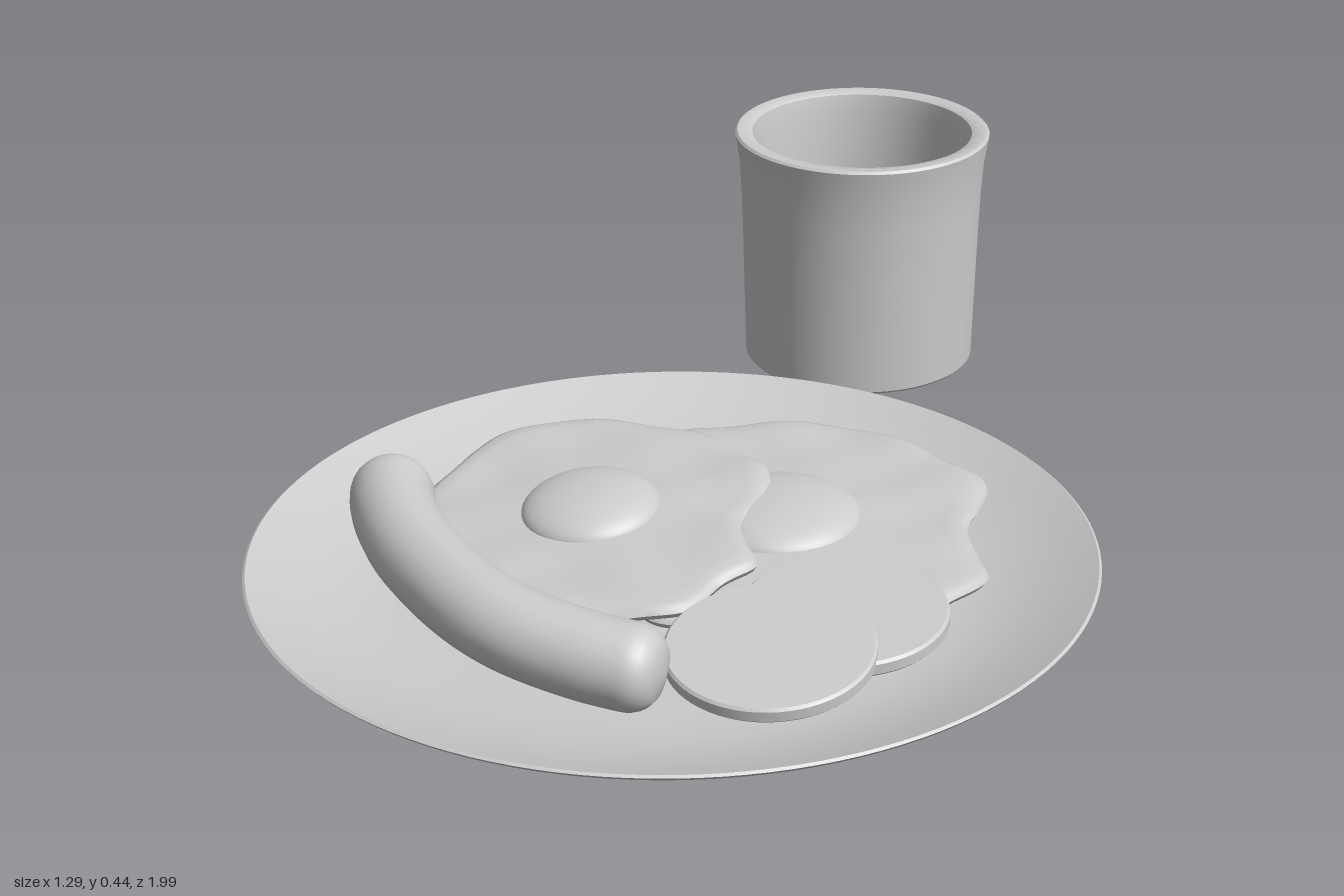
import * as THREE from 'three';
import { toCreasedNormals, mergeVertices } from 'three/addons/utils/BufferGeometryUtils.js';

const glaze = new THREE.MeshStandardMaterial({ color: 0xcccccc });
glaze.name = 'light grey';

function addMesh(parent, name, geometry, x = 0, y = 0, z = 0) {
  const mesh = new THREE.Mesh(geometry, glaze);
  mesh.name = name;
  mesh.position.set(x, y, z);
  parent.add(mesh);
  return mesh;
}

// Turned shape: profile runs from the bottom centre, outwards, and back over the top
function turned(profile, segments = 96) {
  const points = profile.map(([r, y]) => new THREE.Vector2(r, y));
  return toCreasedNormals(new THREE.LatheGeometry(points, segments), 0.7);
}

// Egg white: a lathe whose round section is replaced by a wavy outline, then tilted
function eggWhite(outline, cx, cz, slopeX, slopeZ) {
  const curve = new THREE.CatmullRomCurve3(
    outline.map(([x, z]) => new THREE.Vector3(x - cx, 0, z - cz)), true);
  const profile = [[0, 0], [0.5, 0], [0.95, 0], [0.985, 0.005], [1, 0.013], [0.985, 0.021],
    [0.95, 0.025], [0.87, 0.027], [0.75, 0.025], [0.6, 0.026], [0.45, 0.028], [0.25, 0.03], [0, 0.03]];
  const n = 112;
  const geo = new THREE.LatheGeometry(profile.map(([r, y]) => new THREE.Vector2(r, y)), n);
  const pos = geo.attributes.position;
  for (let i = 0; i <= n; i++) {
    const edge = curve.getPoint(1 - i / n);
    profile.forEach(([r, h], j) => {
      const x = edge.x * r, z = edge.z * r;
      const bump = 0.004 * Math.sin(x * 31 + 1) * Math.sin(z * 27) * r;
      pos.setXYZ(i * profile.length + j, x, h + bump + x * slopeX + z * slopeZ, z);
    });
  }
  return toCreasedNormals(geo, 0.9);
}

function addEgg(parent, name, outline, cx, y, cz, slopeX, slopeZ, yolkRadius) {
  const egg = new THREE.Group();
  egg.name = name;
  egg.position.set(cx, y, cz);
  addMesh(egg, 'eggWhite', eggWhite(outline, cx, cz, slopeX, slopeZ));
  const dome = new THREE.SphereGeometry(yolkRadius, 40, 14, 0, Math.PI * 2, 0, Math.PI / 2);
  dome.scale(1, 0.04 / yolkRadius, 1);
  const yolk = addMesh(egg, 'yolk', dome, 0, 0.022, 0);
  yolk.rotation.set(-slopeZ, 0, slopeX);
  parent.add(egg);
}

// Tube along a curve with both ends rounded off
function sausageGeometry(points, radius) {
  const curve = new THREE.CatmullRomCurve3(points.map((p) => new THREE.Vector3(...p)));
  const rings = 80, sides = 28, length = curve.getLength();
  const geo = new THREE.TubeGeometry(curve, rings, radius, sides);
  const pos = geo.attributes.position, v = new THREE.Vector3();
  for (let i = 0; i <= rings; i++) {
    const centre = curve.getPointAt(i / rings);
    const fromEnd = Math.min(i, rings - i) / rings * length;
    const t = Math.max(0, 1 - fromEnd / (radius * 0.85));
    const scale = Math.pow(1 - Math.pow(t, 2.3), 1 / 2.3);
    for (let j = 0; j <= sides; j++) {
      const k = i * (sides + 1) + j;
      v.fromBufferAttribute(pos, k).sub(centre).multiplyScalar(scale).add(centre);
      pos.setXYZ(k, v.x, v.y, v.z);
    }
  }
  geo.deleteAttribute('uv');
  geo.deleteAttribute('normal');
  const merged = mergeVertices(geo, 1e-5);
  merged.computeVertexNormals();
  return merged;
}

export function createModel() {
  const model = new THREE.Group();
  model.name = 'breakfast';

  // Plate with a foot and a wide curved rim
  addMesh(model, 'plate', turned([[0, 0], [0.425, 0], [0.429, 0.008], [0.43, 0.024], [0.455, 0.029],
    [0.5, 0.042], [0.55, 0.06], [0.6, 0.082], [0.641, 0.104], [0.645, 0.109], [0.641, 0.112],
    [0.6, 0.094], [0.55, 0.075], [0.5, 0.06], [0.45, 0.05], [0.4, 0.046], [0, 0.045]], 128), 0, 0, 0.355);

  // Mug with a flared lip
  const mug = new THREE.Group();
  mug.name = 'mug';
  mug.position.set(0, 0, -0.665);
  model.add(mug);
  addMesh(mug, 'mugBody', turned([[0, 0.01], [0.2, 0.01], [0.205, 0.015], [0.207, 0.1], [0.21, 0.22],
    [0.213, 0.32], [0.217, 0.38], [0.224, 0.425], [0.225, 0.431], [0.221, 0.435], [0.2, 0.435],
    [0.194, 0.431], [0.188, 0.4], [0.187, 0.25], [0.184, 0.06], [0.178, 0.045], [0, 0.045]]));
  const ring = new THREE.TorusGeometry(0.105, 0.021, 16, 40, Math.PI);
  ring.rotateZ(-Math.PI / 2);
  ring.rotateY(Math.PI / 2 + 0.1);
  addMesh(mug, 'mugHandle', ring, -0.02, 0.198, -0.198);

  // Fried eggs, one leaning on the other
  addEgg(model, 'backEgg', [[-0.17, 0], [-0.14, -0.07], [-0.03, -0.13], [0.07, -0.16], [0.2, -0.15],
    [0.3, -0.1], [0.39, -0.04], [0.4, 0.05], [0.4, 0.12], [0.44, 0.2], [0.465, 0.25], [0.43, 0.34],
    [0.38, 0.42], [0.25, 0.48], [0.08, 0.51], [0.02, 0.51], [-0.06, 0.44], [-0.15, 0.3], [-0.18, 0.15]],
  0.11, 0.068, 0.17, 0.01, -0.03, 0.13);
  addEgg(model, 'frontEgg', [[-0.4, 0.08], [-0.32, 0.02], [-0.2, 0], [-0.05, 0.02], [0.02, 0.07],
    [0.07, 0.1], [0.09, 0.18], [0.08, 0.26], [0.11, 0.32], [0.135, 0.36], [0.1, 0.42], [0.07, 0.5],
    [0, 0.53], [-0.1, 0.55], [-0.2, 0.55], [-0.28, 0.5], [-0.38, 0.45], [-0.44, 0.38], [-0.45, 0.3],
    [-0.43, 0.2], [-0.42, 0.13]], -0.165, 0.087, 0.27, 0.05, -0.1, 0.11);

  // Two round slices, the front one overlapping
  for (const [name, x, y, z, tilt] of [['backSlice', 0.295, 0.092, 0.44, 0.06], ['frontSlice', 0.225, 0.094, 0.58, 0.12]]) {
    const slice = addMesh(model, name, turned([[0, -0.012], [0.15, -0.012], [0.154, -0.008],
      [0.154, 0.008], [0.15, 0.012], [0, 0.012]], 64), x, y, z);
    slice.rotation.x = tilt;
  }

  // Bent sausage
  addMesh(model, 'sausage', sausageGeometry([[-0.465, 0.15, 0.345], [-0.42, 0.147, 0.44],
    [-0.325, 0.14, 0.555], [-0.16, 0.126, 0.67], [-0.02, 0.113, 0.702], [0.112, 0.104, 0.705]], 0.065));

  return model;
}
